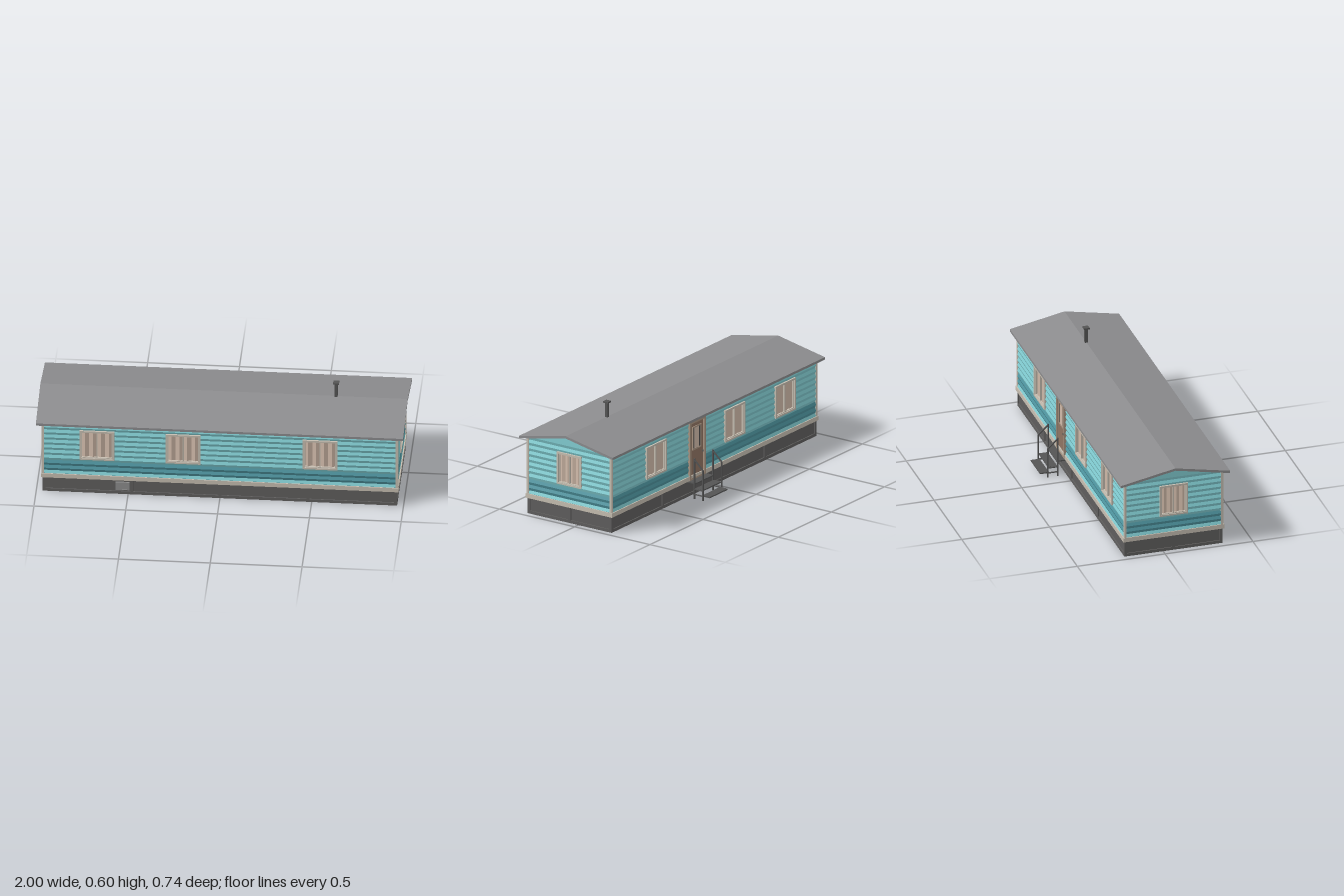
import * as THREE from 'three';

const mat = (color) => new THREE.MeshStandardMaterial({ color, flatShading: true, side: THREE.DoubleSide });
const TEAL = mat(0x82cdd2), BAND = mat(0x4f96a1), TRIM = mat(0xc6beb1), CURTAIN = mat(0xcfb9a8),
  ROOF = mat(0x8c8c8e), SKIRT = mat(0x5f5e5d), DARK = mat(0x555555), VENT = mat(0x8c8c8c),
  DOOR = mat(0x8f7462), DOORTRIM = mat(0xa89482), GLASS = mat(0x4c4c4c);
const L = 0.965, D = 0.28;   // half length and half depth of the walls

function box(parent, name, material, x0, x1, y0, y1, z0, z1) {
  const m = new THREE.Mesh(new THREE.BoxGeometry(x1 - x0, y1 - y0, z1 - z0), material);
  m.position.set((x0 + x1) / 2, (y0 + y1) / 2, (z0 + z1) / 2);
  m.name = name;
  parent.add(m);
  return m;
}

// Four bars around a rectangle
function frame(parent, name, material, x0, x1, y0, y1, t, z0, z1) {
  box(parent, name, material, x0, x0 + t, y0, y1, z0, z1);
  box(parent, name, material, x1 - t, x1, y0, y1, z0, z1);
  box(parent, name, material, x0 + t, x1 - t, y0, y0 + t, z0, z1);
  box(parent, name, material, x0 + t, x1 - t, y1 - t, y1, z0, z1);
}

function meshFrom(parent, name, material, positions) {
  const g = new THREE.BufferGeometry();
  g.setAttribute('position', new THREE.Float32BufferAttribute(positions, 3));
  g.computeVertexNormals();
  const m = new THREE.Mesh(g, material);
  m.name = name;
  parent.add(m);
}

// One quad between a lower and an upper edge
function quad(out, a, b, c, d) {
  out.push(...a, ...b, ...c, ...a, ...c, ...d);
}

// Ridged siding with rectangular openings and a dark band near the bottom
function siding(parent, half, zOut, openings) {
  const step = 0.01625, y0 = 0.1, count = 21;
  const depth = (v) => {
    const t = ((v - y0) / step) % 2;
    return zOut - 0.004 + 0.006 * (t < 1 ? t : 2 - t);
  };
  const levels = [];
  for (let k = 0; k <= count; k++) levels.push(y0 + k * step);
  openings.forEach((o) => levels.push(o.y0, o.y1));
  const vs = [...new Set(levels)].sort((a, b) => a - b);
  const light = [], dark = [];
  for (let i = 0; i + 1 < vs.length; i++) {
    const a = vs[i], b = vs[i + 1], mid = (a + b) / 2;
    const row = Math.floor((mid - y0) / step);
    const cuts = openings.filter((o) => mid > o.y0 && mid < o.y1).sort((p, q) => p.x0 - q.x0);
    const xs = [-half, ...cuts.flatMap((o) => [o.x0, o.x1]), half];
    for (let j = 0; j < xs.length; j += 2) {
      quad(row >= 2 && row < 6 ? dark : light,
        [xs[j], a, depth(a)], [xs[j + 1], a, depth(a)], [xs[j + 1], b, depth(b)], [xs[j], b, depth(b)]);
    }
  }
  meshFrom(parent, 'siding', TEAL, light);
  meshFrom(parent, 'sidingBand', BAND, dark);
}

// Framed window with a pair of pleated curtains
function windowUnit(parent, cx, width, zOut) {
  const g = new THREE.Group();
  g.name = 'window';
  const h = width / 2, y0 = 0.213, y1 = 0.397;
  frame(g, 'windowFrame', TRIM, -h, h, y0, y1, 0.01, -0.012, 0.0075);
  frame(g, 'windowSash', TRIM, -h + 0.01, h - 0.01, y0 + 0.01, y1 - 0.01, 0.004, -0.01, 0.002);
  box(g, 'windowMullion', TRIM, -0.003, 0.003, y0 + 0.01, y1 - 0.01, -0.01, 0.002);
  const p = [], n = 8, w = h - 0.009;
  for (let i = 0; i < n; i++) {
    const xa = -w + (2 * w * i) / n, xb = -w + (2 * w * (i + 1)) / n;
    const za = i % 2 ? -0.004 : -0.013, zb = i % 2 ? -0.013 : -0.004;
    quad(p, [xa, y0 + 0.009, za], [xb, y0 + 0.009, zb], [xb, y1 - 0.009, zb], [xa, y1 - 0.009, za]);
  }
  meshFrom(g, 'curtains', CURTAIN, p);
  g.position.set(cx, 0, zOut);
  parent.add(g);
}

function doorUnit(parent, cx, zOut) {
  const g = new THREE.Group();
  g.name = 'door';
  frame(g, 'doorFrame', DOORTRIM, -0.075, 0.075, 0.088, 0.425, 0.013, -0.012, 0.009);
  box(g, 'doorLeaf', DOOR, -0.062, 0.062, 0.1, 0.412, -0.008, 0.001);
  frame(g, 'doorWindowFrame', DOORTRIM, -0.042, 0.042, 0.255, 0.39, 0.008, -0.002, 0.005);
  box(g, 'doorGlass', GLASS, -0.034, 0.034, 0.263, 0.382, 0, 0.002);
  box(g, 'doorCurtain', CURTAIN, -0.02, 0.02, 0.263, 0.382, 0, 0.003);
  box(g, 'doorHandle', DARK, 0.048, 0.055, 0.225, 0.235, 0, 0.009);
  g.position.set(cx, 0, zOut);
  parent.add(g);
}

// A whole side, built facing +z and then turned
function wall(parent, name, angle, half, zOut, windows, winWidth, posts, doorX) {
  const g = new THREE.Group();
  g.name = name;
  const openings = windows.map((x) => ({ x0: x - winWidth / 2 + 0.006, x1: x + winWidth / 2 - 0.006, y0: 0.22, y1: 0.39 }));
  if (doorX !== undefined) openings.push({ x0: doorX - 0.07, x1: doorX + 0.07, y0: 0.1, y1: 0.42 });
  siding(g, half, zOut, openings);
  windows.forEach((x) => windowUnit(g, x, winWidth, zOut));
  if (doorX !== undefined) doorUnit(g, doorX, zOut);
  // Belt trim and skirting below it
  box(g, 'beltTrim', TRIM, -half - 0.0075, half + 0.0075, 0.09, 0.115, zOut - 0.012, zOut + 0.0075);
  box(g, 'skirtPanel', SKIRT, -half + 0.001, half - 0.001, 0, 0.092, zOut - 0.012, zOut - 0.006);
  box(g, 'skirtRail', SKIRT, -half, half, 0, 0.017, zOut - 0.008, zOut);
  [...posts, -half + 0.008, half - 0.008].forEach((x) =>
    box(g, 'skirtPost', SKIRT, x - 0.008, x + 0.008, 0.017, 0.09, zOut - 0.008, zOut));
  g.rotation.y = angle;
  parent.add(g);
  return g;
}

function extrudeAlongX(parent, name, material, points, x0, x1) {
  // Shape x is -z in the model after the turn
  const shape = new THREE.Shape(points.map(([z, y]) => new THREE.Vector2(-z, y)));
  const geo = new THREE.ExtrudeGeometry(shape, { depth: x1 - x0, bevelEnabled: false });
  geo.rotateY(Math.PI / 2);
  geo.translate(x0, 0, 0);
  const m = new THREE.Mesh(geo, material);
  m.name = name;
  parent.add(m);
}

export function createModel() {
  const model = new THREE.Group();
  model.name = 'mobileHome';
  const house = new THREE.Group();
  house.name = 'house';
  house.position.z = 0.059;
  model.add(house);

  // Four sides
  const thirds = [-0.48, 0, 0.48];
  const front = wall(house, 'frontWall', 0, L, D, [-0.67, -0.2, 0.545], 0.19, thirds);
  wall(house, 'backWall', Math.PI, L, D, [-0.55, 0.19, 0.665], 0.19, thirds, -0.166);
  wall(house, 'leftEndWall', Math.PI / 2, D, L, [0], 0.16, [0]);
  wall(house, 'rightEndWall', -Math.PI / 2, D, L, [0], 0.16, [0]);
  frame(front, 'ventFrame', VENT, -0.568, -0.492, 0.027, 0.075, 0.005, D - 0.006, D + 0.003);
  box(front, 'vent', VENT, -0.564, -0.496, 0.031, 0.071, D - 0.006, D + 0.001);

  // Corner trims and gables
  for (const sx of [-1, 1]) {
    for (const sz of [-1, 1]) {
      const x = sx * 0.964, z = sz * 0.276;
      box(house, 'cornerTrim', TRIM, x - 0.007, x + 0.007, 0.1, 0.447, z - 0.0065, z + 0.0065);
    }
    const x = sx * (L - 0.002);
    extrudeAlongX(house, 'gable', TEAL, [[-D, 0.438], [-D, 0.444], [0, 0.498], [D, 0.444], [D, 0.438]], x - 0.002, x + 0.002);
  }

  // Roof and flue
  extrudeAlongX(house, 'roof', ROOF,
    [[-0.311, 0.435], [-0.311, 0.449], [0, 0.51], [0.311, 0.449], [0.311, 0.435], [0, 0.496]], -1, 1);
  box(house, 'flue', DARK, 0.603, 0.619, 0.495, 0.592, -0.008, 0.008);
  box(house, 'flueCap', DARK, 0.595, 0.627, 0.592, 0.6, -0.016, 0.016);

  // Steps at the back door with railings on both sides
  const steps = new THREE.Group();
  steps.name = 'steps';
  model.add(steps);
  for (let i = 0; i < 3; i++) {
    const z = -0.225 - i * 0.0475, y = 0.083 - i * 0.03;
    box(steps, 'tread', DARK, 0.083, 0.251, y, y + 0.007, z - 0.05, z);
  }
  for (const x of [0.079, 0.255]) {
    box(steps, 'railPost', DARK, x - 0.004, x + 0.004, 0, 0.232, -0.273, -0.267);
    box(steps, 'railPost', DARK, x - 0.004, x + 0.004, 0, 0.173, -0.33, -0.324);
    extrudeAlongX(steps, 'handrail', DARK,
      [[-0.267, 0.233], [-0.33, 0.174], [-0.33, 0.166], [-0.267, 0.225]], x - 0.004, x + 0.004);
    for (const y of [0.024, 0.054])
      box(steps, 'stepBearer', DARK, x - 0.004, x + 0.004, y, y + 0.005, -0.33, -0.267);
  }
  return model;
}
